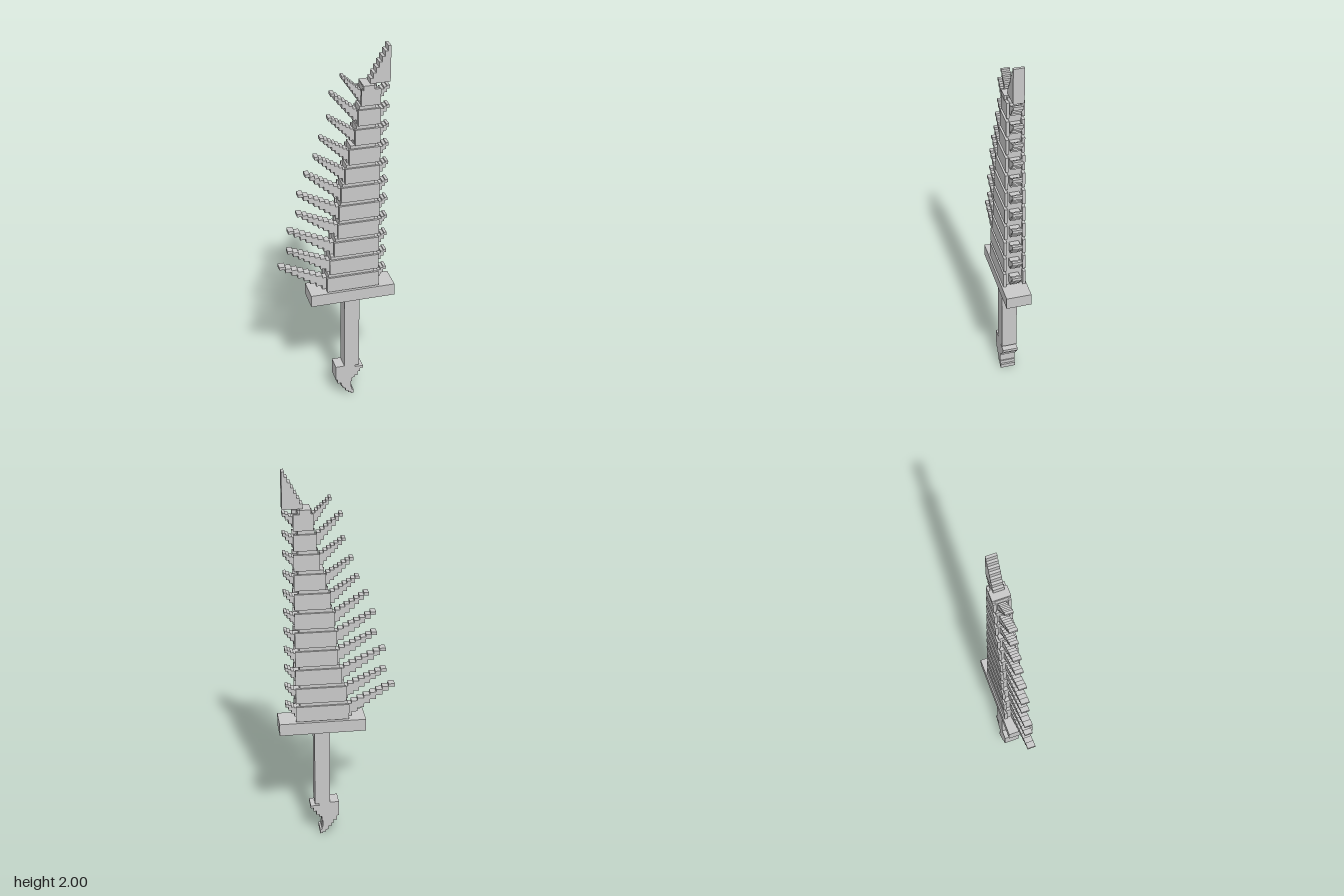
import * as THREE from 'three';

const steel = new THREE.MeshStandardMaterial({ color: 0xc8c8c8 });
steel.name = 'light grey steel';

export function createModel() {
  const model = new THREE.Group();
  model.name = 'spinedSword';

  const add = (name, geometry) => {
    const mesh = new THREE.Mesh(geometry, steel);
    mesh.name = name;
    model.add(mesh);
    return mesh;
  };

  // Box given by its limits
  const block = (name, x0, x1, y0, y1, z0, z1) =>
    add(name, new THREE.BoxGeometry(x1 - x0, y1 - y0, z1 - z0))
      .position.set((x0 + x1) / 2, (y0 + y1) / 2, (z0 + z1) / 2);

  // Stepped slab: bands [from, to, low, high] stacked along y (rows) or along x (columns)
  const stepped = (name, bands, halfZ, columns = false) => {
    const pts = [];
    for (const [a, b, , high] of bands) pts.push([high, a], [high, b]);
    for (const [a, b, low] of [...bands].reverse()) pts.push([low, b], [low, a]);
    const shape = new THREE.Shape(pts.map(([u, v]) =>
      columns ? new THREE.Vector2(v, u) : new THREE.Vector2(u, v)));
    const geometry = new THREE.ExtrudeGeometry(shape, { depth: halfZ * 2, bevelEnabled: false });
    geometry.translate(0, 0, -halfZ);
    add(name, geometry);
  };

  // Handle
  block('guard', -0.147, 0.298, 0.62, 0.685, -0.065, 0.065);
  block('grip', 0.037, 0.117, 0.185, 0.62, -0.04, 0.04);
  stepped('pommel', [
    [0, 0.01, 0.075, 0.09], [0.01, 0.022, 0.06, 0.09], [0.022, 0.042, 0.045, 0.08],
    [0.042, 0.058, 0.03, 0.075], [0.058, 0.08, 0.02, 0.075], [0.08, 0.105, 0, 0.08],
    [0.105, 0.117, -0.01, 0.095], [0.117, 0.14, -0.01, 0.11], [0.14, 0.16, -0.01, 0.125],
    [0.16, 0.175, -0.01, 0.14], [0.175, 0.19, -0.01, 0.095],
  ], 0.04);

  // Blade: left edge of each segment, and the tip of its long spike
  const edges = [-0.06, -0.045, -0.022, -0.002, 0.005, 0.015, 0.035, 0.055, 0.085, 0.1, 0.115];
  const tips = [
    [-0.3, 0.857], [-0.255, 0.945], [-0.25, 1.06], [-0.203, 1.152], [-0.198, 1.262],
    [-0.16, 1.368], [-0.112, 1.457], [-0.083, 1.555], [-0.043, 1.658], [-0.03, 1.783], [0.025, 1.865],
  ];
  edges.forEach((left, i) => {
    const y = 0.69 + i * 0.102;
    const half = 0.058 - i * 0.0014;

    // Core and the two cover plates, which overhang it at both ends
    block('bladeCore', left + 0.008, 0.19, y - 0.01, y + 0.1, -half + 0.01, half - 0.01);
    for (const side of [-1, 1]) {
      const a = side * half, b = side * (half - 0.015);
      block('coverPlate', left, 0.212, y, y + 0.083, Math.min(a, b), Math.max(a, b));
    }

    // Long spike on the left, thinning toward its tip
    const [tipX, tipY] = tips[i];
    const root = left + 0.015;
    const n = 8;
    const long = [];
    for (let k = 0; k < n; k++) {
      const t = k / (n - 1);
      const low = THREE.MathUtils.lerp(tipY - 0.016, y, t);
      const high = THREE.MathUtils.lerp(tipY, y + 0.068, t);
      long.push([tipX + (root - tipX) * k / n, tipX + (root - tipX) * (k + 1) / n, low, high]);
    }
    stepped('longSpike', long, 0.021, true);

    // Short spike on the right
    stepped('shortSpike', [
      [0.18, 0.217, y + 0.015, y + 0.066], [0.217, 0.232, y + 0.033, y + 0.07],
      [0.232, 0.247, y + 0.052, y + 0.08], [0.247, 0.261, y + 0.07, y + 0.087],
    ], 0.025, true);
  });

  // Cap and stepped point
  block('bladeCap', 0.125, 0.18, 1.79, 1.815, -0.046, 0.046);
  const point = [];
  for (let k = 0; k < 7; k++) {
    point.push([1.815 + k * 0.0264, 1.815 + (k + 1) * 0.0264, 0.163 + k * 0.0143, 0.263]);
  }
  stepped('bladePoint', point, 0.027);

  return model;
}
